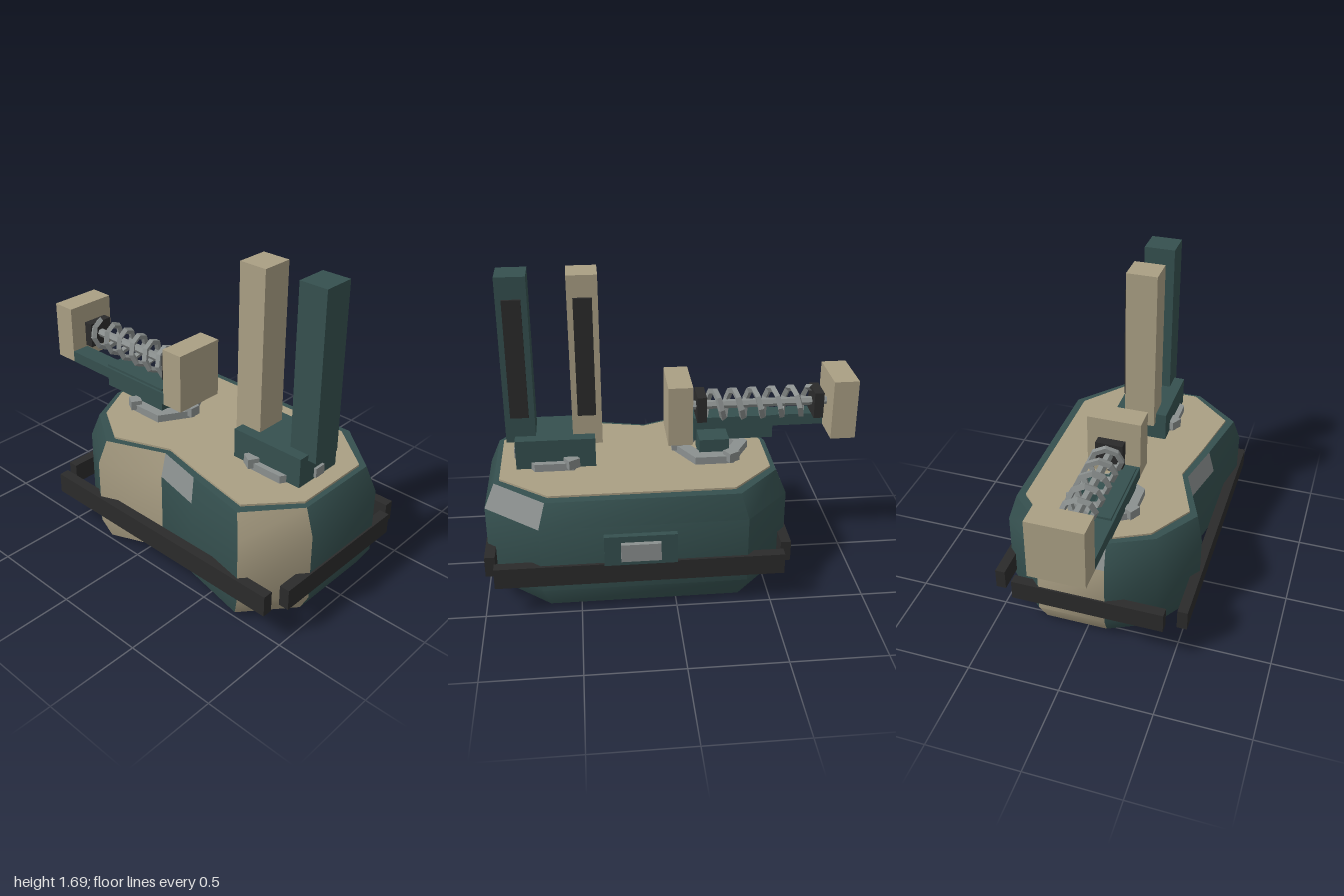
import * as THREE from 'three';
import { toCreasedNormals } from 'three/addons/utils/BufferGeometryUtils.js';

const mat = (name, color, opts = {}) => {
  const m = new THREE.MeshStandardMaterial({ color, ...opts });
  m.name = name;
  return m;
};

// Hull outline, clockwise from above: x, z, wall colour (0 green, 1 beige), grey upper patch
const OUTLINE = [
  [-0.37, -0.5, 0, 0], [0.7, -0.5, 0, 1], [0.985, -0.26, 0, 0], [0.985, 0.265, 1, 0],
  [0.755, 0.54, 0, 0], [0.38, 0.465, 0, 1], [0.1, 0.4, 1, 0], [-0.235, 0.54, 0, 0],
  [-0.49, 0.37, 0, 0], [-0.61, 0.12, 1, 1], [-0.61, -0.25, 0, 0],
];
const CX = 0.187, CZ = 0.02;
const scaled = (p, sx, sz) => [CX + (p[0] - CX) * sx, CZ + (p[1] - CZ) * sz];

// Lofted side wall, one material group per colour
function hullGeometry() {
  const rings = [[0.03, 0.925], [0.14, 1], [0.51, 1], [0.645, 0.93]];
  const buckets = [[], [], []];
  OUTLINE.forEach((p, i) => {
    const q = OUTLINE[(i + 1) % OUTLINE.length];
    for (let r = 0; r < 3; r++) {
      const corner = (pt, [y, s]) => {
        const [x, z] = scaled(pt, s, s);
        return [x, y, z];
      };
      const a = corner(p, rings[r]), b = corner(q, rings[r]);
      const c = corner(p, rings[r + 1]), d = corner(q, rings[r + 1]);
      buckets[r === 2 && p[3] ? 2 : p[2]].push(...a, ...c, ...b, ...b, ...c, ...d);
    }
  });
  const g = new THREE.BufferGeometry();
  g.setAttribute('position', new THREE.Float32BufferAttribute(buckets.flat(), 3));
  let start = 0;
  buckets.forEach((b, i) => {
    g.addGroup(start, b.length / 3, i);
    start += b.length / 3;
  });
  return toCreasedNormals(g, 0.8);
}

// Flat plate that follows the hull outline
function plateGeometry(sx, sz, y0, y1) {
  const pts = OUTLINE.map((p) => {
    const [x, z] = scaled(p, sx, sz);
    return new THREE.Vector2(x, -z);
  });
  const g = new THREE.ExtrudeGeometry(new THREE.Shape(pts), { depth: y1 - y0, bevelEnabled: false });
  return g.rotateX(-Math.PI / 2).translate(0, y0, 0);
}

// Hexagonal ring lying flat, corners towards +x and -x
function hexRingGeometry(outer, inner, height) {
  const hex = (r) => Array.from({ length: 6 }, (_, i) =>
    new THREE.Vector2(r * Math.cos(i * Math.PI / 3), r * Math.sin(i * Math.PI / 3)));
  const shape = new THREE.Shape(hex(outer));
  shape.holes.push(new THREE.Path(hex(inner)));
  return new THREE.ExtrudeGeometry(shape, { depth: height, bevelEnabled: false }).rotateX(-Math.PI / 2);
}

class Helix extends THREE.Curve {
  getPoint(t, target = new THREE.Vector3()) {
    const a = t * 5.5 * Math.PI * 2;
    return target.set(-0.785 + 0.585 * t, 0.925 + 0.078 * Math.cos(a), 0.016 + 0.078 * Math.sin(a));
  }
}

export function createModel() {
  const green = mat('dark green', 0x35504f);
  const beige = mat('beige', 0xaa9f84);
  const grey = mat('grey metal', 0x8b908f, { flatShading: true });
  const black = mat('black rubber', 0x2b2b2b);

  const root = new THREE.Group();
  root.name = 'model';
  const add = (name, geometry, material, parent = root) => {
    const m = new THREE.Mesh(geometry, material);
    m.name = name;
    parent.add(m);
    return m;
  };
  // Box given by its limits on each axis
  const box = (name, material, [x0, x1], [y0, y1], [z0, z1], parent) => {
    const m = add(name, new THREE.BoxGeometry(x1 - x0, y1 - y0, z1 - z0), material, parent);
    m.position.set((x0 + x1) / 2, (y0 + y1) / 2, (z0 + z1) / 2);
    return m;
  };

  // Hull
  add('hullWall', hullGeometry(), [green, beige, grey]);
  add('hullTop', plateGeometry(0.93, 0.93, 0.63, 0.645), green);
  add('hullBottom', plateGeometry(0.925, 0.925, 0.03, 0.045), green);
  add('deckPlate', plateGeometry(0.895, 0.84, 0.64, 0.656), beige);
  add('basePlate', plateGeometry(0.74, 0.72, 0.018, 0.035), black);

  // Hexagonal feet
  for (const [x, z] of [[0.58, 0.165], [0.19, -0.24], [-0.2, 0.165]]) {
    add('foot', hexRingGeometry(0.143, 0.09, 0.02), grey).position.set(x, 0, z);
  }

  // Bumper bars
  box('frontBumper', black, [-0.565, 0.94], [0.18, 0.295], [0.5, 0.555]);
  box('backBumper', black, [-0.565, 0.94], [0.18, 0.295], [-0.515, -0.46]);
  box('rightBumper', black, [-0.62, -0.565], [0.18, 0.295], [-0.4, 0.44]);
  box('leftBumper', black, [0.94, 0.995], [0.18, 0.295], [-0.4, 0.44]);

  // Rear hatch
  box('hatchFrame', green, [0, 0.375], [0.295, 0.465], [-0.53, -0.49]);
  box('hatchPanel', grey, [0.085, 0.29], [0.33, 0.43], [-0.555, -0.53]);

  // Swivel mounts with three tabs each
  for (const x of [-0.235, 0.615]) {
    const mount = new THREE.Group();
    mount.name = 'swivelMount';
    mount.position.set(x, 0, 0.018);
    root.add(mount);
    add('mountRing', hexRingGeometry(0.205, 0.13, 0.046), grey, mount).position.y = 0.652;
    for (let i = 0; i < 3; i++) {
      const arm = new THREE.Group();
      arm.name = 'mountTab';
      arm.rotation.y = i * Math.PI * 2 / 3;
      mount.add(arm);
      box('tab', grey, [0.155, 0.215], [0.67, 0.722], [-0.033, 0.033], arm);
    }
  }

  // Twin towers on their base
  box('towerBase', green, [0.395, 0.815], [0.66, 0.822], [-0.128, 0.165]);
  const pin = add('towerPin', new THREE.CylinderGeometry(0.045, 0.045, 0.03, 6), grey);
  pin.rotation.z = Math.PI / 2;
  pin.position.set(0.815, 0.8, 0.018);
  for (const [x, material] of [[0.433, beige], [0.783, green]]) {
    box('tower', material, [x - 0.078, x + 0.078], [x > 0.6 ? 0.79 : 0.765, 1.69], [-0.066, 0.105]);
    box('towerStrip', black, [x - 0.048, x + 0.048], [0.935, 1.575], [-0.08, -0.066]);
  }

  // Spring arm
  box('armBeam', green, [-0.866, -0.12], [0.76, 0.825], [0.06, 0.163]);
  box('armBracket', green, [-0.58, -0.145], [0.705, 0.838], [0.03, 0.15]);
  box('armPivot', green, [-0.32, -0.16], [0.66, 0.77], [-0.1, 0.06]);
  for (const [x0, x1] of [[-1, -0.866], [-0.12, 0.01]]) {
    box('armEndBlock', beige, [x0, x1], [0.76, 1.09], [-0.128, 0.163]);
  }
  for (const [x0, x1] of [[-0.836, -0.785], [-0.203, -0.152]]) {
    box('springCap', black, [x0, x1], [0.853, 0.997], [-0.057, 0.09]);
  }
  const rod = add('springRod', new THREE.CylinderGeometry(0.024, 0.024, 0.75, 6), grey);
  rod.rotation.z = Math.PI / 2;
  rod.position.set(-0.493, 0.925, 0.016);
  add('spring', new THREE.TubeGeometry(new Helix(), 44, 0.019, 4), grey);

  return root;
}
